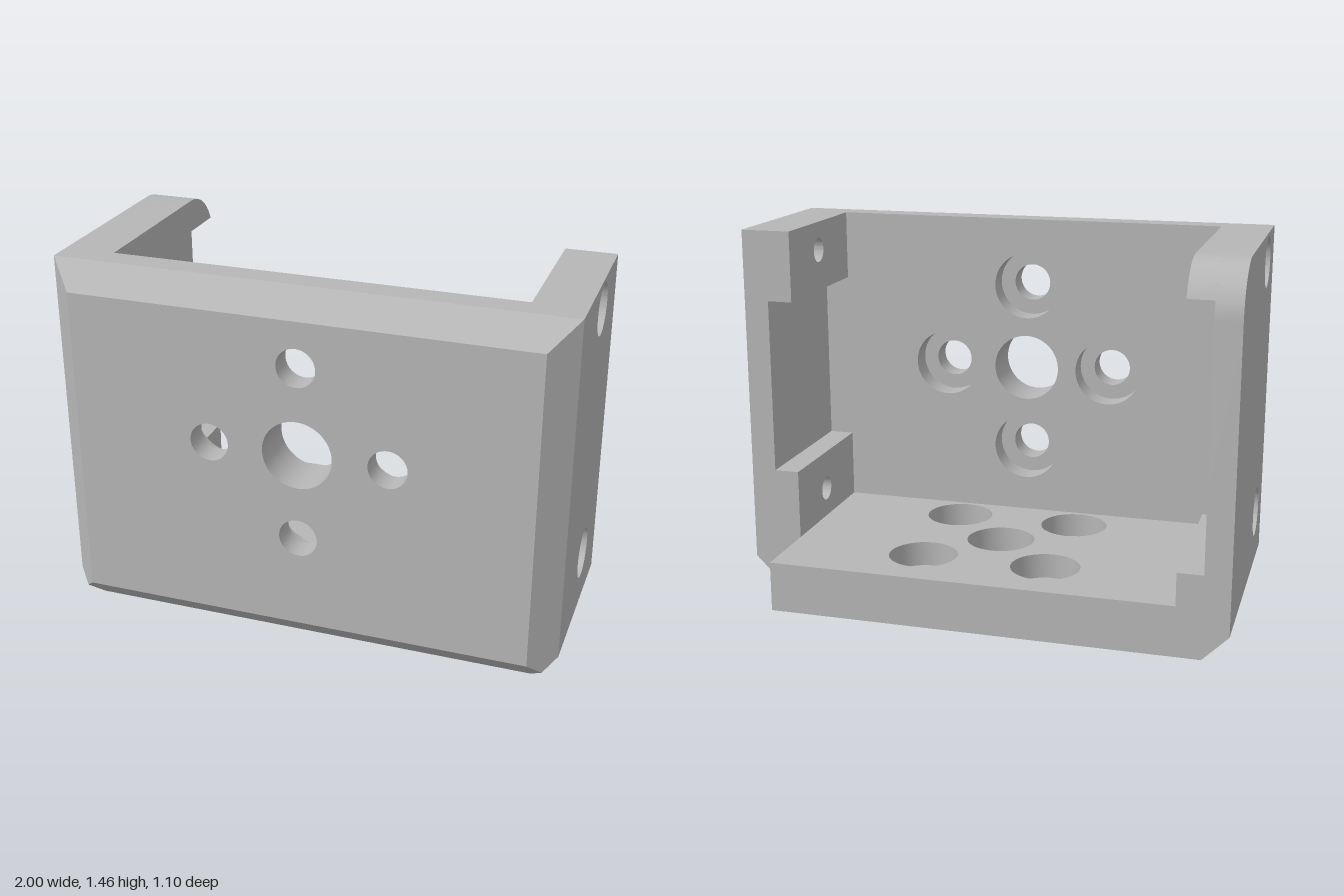
import * as THREE from 'three';
import { toCreasedNormals } from 'three/addons/utils/BufferGeometryUtils.js';
import { ConvexGeometry } from 'three/addons/geometries/ConvexGeometry.js';

const H = 1.46, INNER = 0.35, BACK = -0.55, SHORT = -0.25;

// Outline with round holes given as [u, v, radius]
function outline(points, holes = []) {
  const shape = new THREE.Shape(points.map(([u, v]) => new THREE.Vector2(u, v)));
  for (const [u, v, r] of holes) {
    shape.holes.push(new THREE.Path().absarc(u, v, r, 0, Math.PI * 2, true));
  }
  return shape;
}
const rect = (u0, v0, u1, v1) => [[u0, v0], [u1, v0], [u1, v1], [u0, v1]];

// Plate lying across the given axis, between a and b
function slab(axis, points, holes, a, b) {
  let g = new THREE.ExtrudeGeometry(outline(points, holes), {
    depth: b - a, bevelEnabled: false, curveSegments: 40,
  });
  if (axis === 'x') g.rotateY(-Math.PI / 2).translate(b, 0, 0); // outline in (z, y)
  if (axis === 'y') g.rotateX(Math.PI / 2).translate(0, b, 0);  // outline in (x, z)
  if (axis === 'z') g.translate(0, 0, a);                       // outline in (x, y)
  return toCreasedNormals(g, 0.6);
}

export function createModel() {
  const group = new THREE.Group();
  const grey = new THREE.MeshStandardMaterial({ color: 0xb6b6b6 });
  grey.name = 'grey';
  const add = (name, geometry) => {
    const mesh = new THREE.Mesh(geometry, grey);
    mesh.name = name;
    group.add(mesh);
  };

  // Front panel: bolt holes counterbored from the inside
  const bolts = (r) => [[0, 0.83, 0.137], [0.35, 0.83, r], [-0.35, 0.83, r], [0, 1.18, r], [0, 0.48, r]];
  const panel = rect(-0.8, 0.2, 0.8, 1.36);
  add('frontPanelInner', slab('z', panel, bolts(0.137), INNER, 0.45));
  add('frontPanelOuter', slab('z', panel, bolts(0.076), 0.45, 0.55));

  // Chamfered rims above and below the front panel
  add('topRim', slab('x', [[INNER, 1.36], [0.55, 1.36], [0.45, H], [INNER, H]], [], -0.8, 0.8));
  add('bottomRim', slab('x', [[INNER, 0], [0.45, 0], [0.55, 0.1], [0.55, 0.2], [INNER, 0.2]], [], -0.8, 0.8));

  // Floor: bolt holes counterbored from above
  const floorBolts = (r) => [[0, -0.05, 0.137],
    ...[-0.25, 0.25].flatMap((x) => [[x, -0.3, r], [x, 0.195, r]])];
  const floor = rect(-0.8, BACK, 0.8, INNER);
  add('floorLower', slab('y', floor, floorBolts(0.076), 0, 0.1));
  add('floorUpper', slab('y', floor, floorBolts(0.137), 0.1, 0.2));

  // Chamfered front corner columns and bottom side chamfers, mirrored
  for (const s of [1, -1]) {
    const corner = [[0.95, 0.05, 0.5]];
    for (const z of [INNER, 0.45]) {
      corner.push([0.8, 0, z], [0.9, 0, z], [1, 0.1, z], [1, H, z], [0.8, H, z]);
    }
    for (const x of [0.8, 0.9]) corner.push([x, 0.1, 0.55], [x, 1.36, 0.55]);
    add('frontCorner', new ConvexGeometry(corner.map(([x, y, z]) => new THREE.Vector3(s * x, y, z))));

    const wedge = [];
    for (const z of [s > 0 ? SHORT : BACK, INNER]) {
      wedge.push([0.9, 0, z], [1, 0.1, z], [0.9, 0.1, z]);
    }
    add('bottomChamfer', new ConvexGeometry(wedge.map(([x, y, z]) => new THREE.Vector3(s * x, y, z))));
  }

  // Left wall: short, with a full-length recess between two screw blocks
  const screws = (z, r) => [[z, 1.345, r], [z, 0.32, r]];
  add('leftWallOuter', slab('x', rect(SHORT, 0.1, INNER, H), screws(0.04, 0.1), 0.9, 1));
  add('leftUpperBlock', slab('x', rect(SHORT, 1.18, INNER, H), [[0.04, 1.345, 0.05]], 0.8, 0.9));
  add('leftLowerBlock', slab('x', rect(SHORT, 0, INNER, 0.48), [[0.04, 0.32, 0.05]], 0.8, 0.9));

  // Right wall: long, rounded at the upper back, with a recess open to the back
  const round = (end) => Array.from({ length: 17 }, (_, i) => {
    const t = Math.PI / 2 + (end - Math.PI / 2) * i / 16;
    return [-0.35 + 0.2 * Math.cos(t), 1.26 + 0.2 * Math.sin(t)];
  });
  add('rightWallOuter', slab('x',
    [[BACK, 0.1], [INNER, 0.1], [INNER, H], ...round(Math.PI)], screws(0.23, 0.1), -1, -0.9));
  add('rightWallInner', slab('x',
    [[BACK, 0], [INNER, 0], [INNER, H], ...round(Math.PI - Math.asin(0.35)),
      [0.11, 1.33], [0.11, 0.33], [BACK, 0.33]], screws(0.23, 0.05), -0.9, -0.8));

  return group;
}
